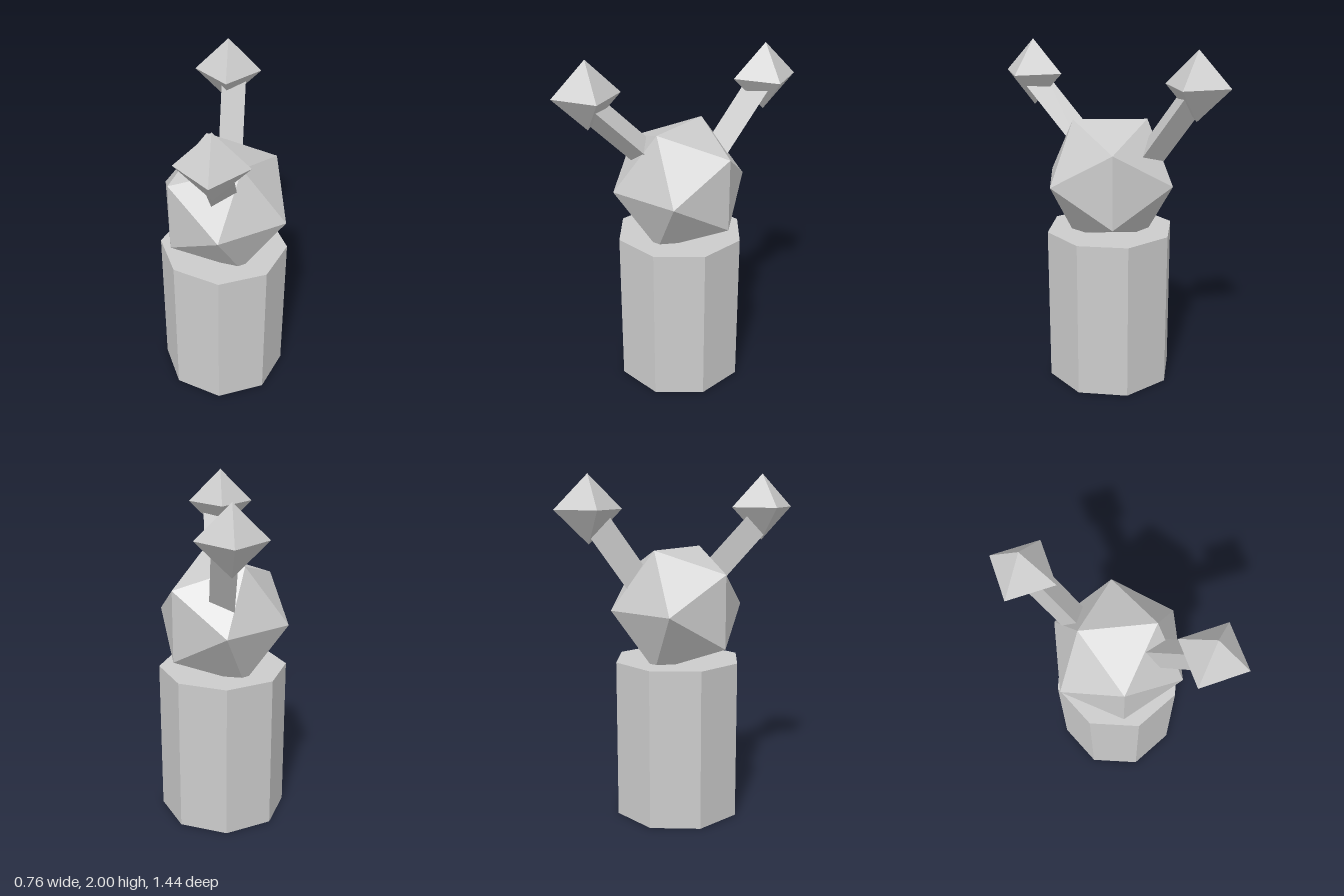
import * as THREE from 'three';

const material = new THREE.MeshStandardMaterial({ color: 0xcccccc, flatShading: true });

function part(name, geometry, x, y, z) {
  const mesh = new THREE.Mesh(geometry, material);
  mesh.name = name;
  mesh.position.set(x, y, z);
  return mesh;
}

// Three-sided rod between two [z, y] points in the x = 0 plane, one edge towards +x
function rod(name, [z0, y0], [z1, y1]) {
  const length = Math.hypot(z1 - z0, y1 - y0);
  const geometry = new THREE.CylinderGeometry(0.09, 0.09, length, 3, 1, false, Math.PI / 2);
  const mesh = part(name, geometry, 0, (y0 + y1) / 2, (z0 + z1) / 2);
  mesh.rotation.x = Math.atan2(z1 - z0, y1 - y0);
  return mesh;
}

export function createModel() {
  const model = new THREE.Group();
  model.name = 'stalkedFigure';

  // Eight-sided body
  const bodyHeight = 0.93;
  model.add(part('body', new THREE.CylinderGeometry(0.378, 0.378, bodyHeight, 8), 0, bodyHeight / 2, 0));

  // Faceted head, turned so that a corner faces the front
  const head = part('head', new THREE.IcosahedronGeometry(0.404), 0, 1.235, 0);
  head.rotation.y = -Math.atan((1 + Math.sqrt(5)) / 2);
  model.add(head);

  // Stalks; the back one is a little steeper
  model.add(rod('frontStalk', [0.1, 1.327], [0.53, 1.757]));
  model.add(rod('backStalk', [-0.2, 1.325], [-0.528, 1.79]));

  // Diamond tips
  for (const [name, side] of [['frontTip', 1], ['backTip', -1]]) {
    model.add(part(name, new THREE.OctahedronGeometry(0.193), -0.015, 1.807, side * 0.528));
  }

  return model;
}
